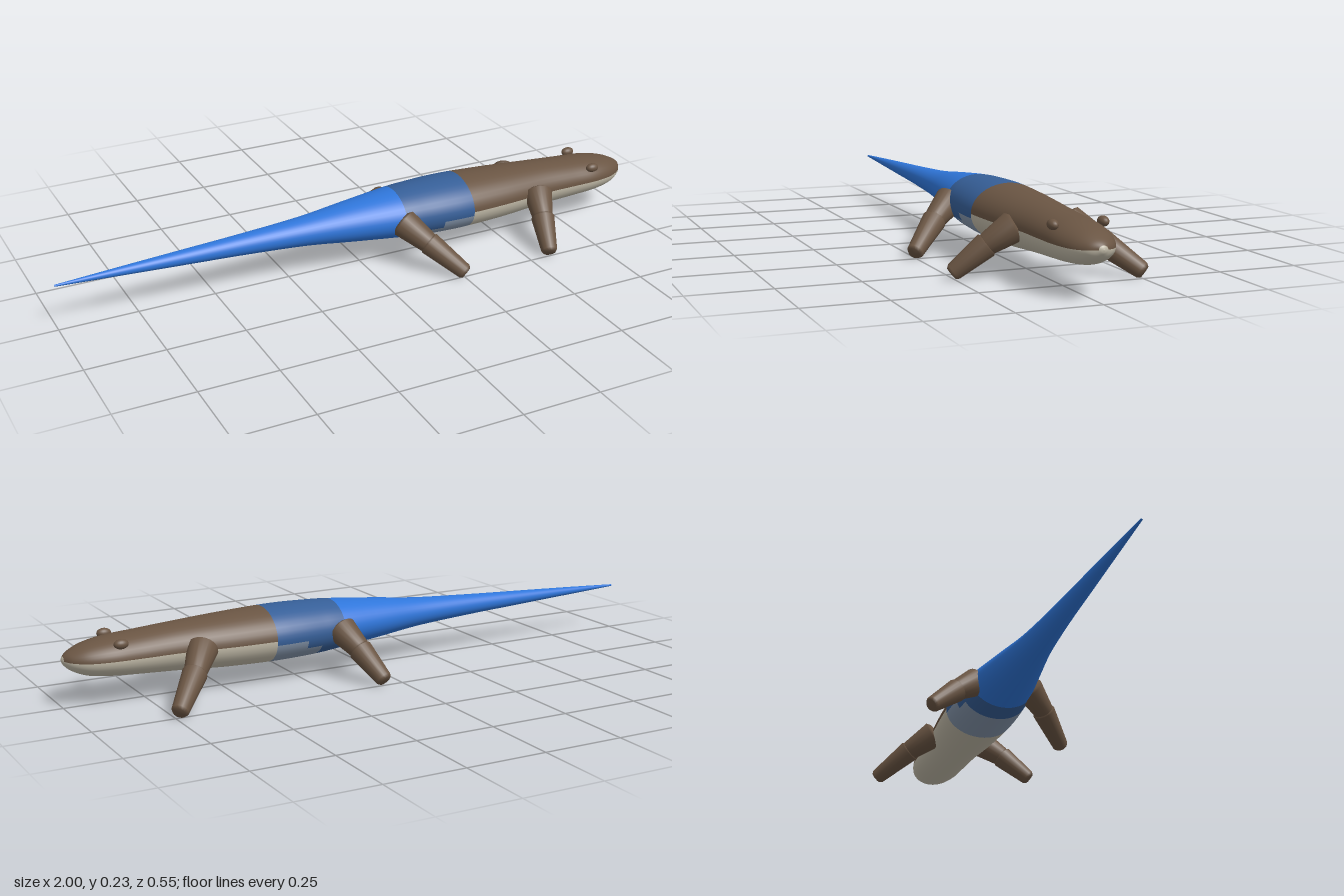
import * as THREE from 'three';

const paint = (name, color) => {
  const m = new THREE.MeshStandardMaterial({ color });
  m.name = name;
  return m;
};

// Cross-sections from tail tip to nose: x, top y, bottom y, half width
const SECTIONS = [
  [-1, 0.157, 0.151, 0.003], [-0.8, 0.168, 0.141, 0.014], [-0.6, 0.178, 0.131, 0.025],
  [-0.4, 0.188, 0.121, 0.036], [-0.2, 0.2, 0.108, 0.053], [-0.04, 0.217, 0.09, 0.078],
  [0.12, 0.232, 0.074, 0.105], [0.2, 0.236, 0.067, 0.113], [0.28, 0.238, 0.064, 0.118],
  [0.36, 0.237, 0.063, 0.118], [0.5, 0.231, 0.066, 0.109], [0.65, 0.222, 0.075, 0.094],
  [0.77, 0.213, 0.081, 0.089], [0.86, 0.206, 0.087, 0.086], [0.93, 0.193, 0.097, 0.069],
  [0.975, 0.175, 0.117, 0.042], [0.995, 0.16, 0.136, 0.014], [1, 0.148, 0.148, 0],
];
const STEPS = 6;   // rings between neighbouring sections
const SIDES = 40;

// Paint index by position along the body and height on its ring
function bodyPaint(x, s) {
  if (x < 0.12) return 0;
  if (x < 0.36) return s < (x < 0.2 ? -2 : x < 0.25 ? -0.45 : -0.1) ? 2 : 1;
  if (x > 0.995) return 4;
  return s < -0.03 ? 4 : 3;
}

function bodyGeometry() {
  const heights = new THREE.CatmullRomCurve3(
    SECTIONS.map(([x, top, bottom]) => new THREE.Vector3(x, top, bottom)), false, 'catmullrom', 0.5);
  const widths = new THREE.CatmullRomCurve3(
    SECTIONS.map(([x, , , w]) => new THREE.Vector3(x, w, 0)), false, 'catmullrom', 0.5);
  const rings = (SECTIONS.length - 1) * STEPS;
  const positions = [], xs = [], faces = [[], [], [], [], []];
  for (let i = 0; i <= rings; i++) {
    const h = heights.getPoint(i / rings), w = Math.max(0, widths.getPoint(i / rings).y);
    xs.push(h.x);
    for (let j = 0; j < SIDES; j++) {
      const a = (j / SIDES) * Math.PI * 2;
      positions.push(h.x, (h.y + h.z) / 2 + (h.y - h.z) / 2 * Math.sin(a), w * Math.cos(a));
    }
  }
  for (let i = 0; i < rings; i++) {
    for (let j = 0; j < SIDES; j++) {
      const k = (j + 1) % SIDES;
      const a = i * SIDES + j, b = a + SIDES, c = i * SIDES + k, d = c + SIDES;
      const s = Math.sin(((j + 0.5) / SIDES) * Math.PI * 2);
      faces[bodyPaint((xs[i] + xs[i + 1]) / 2, s)].push(a, b, c, b, d, c);
    }
  }
  const g = new THREE.BufferGeometry();
  g.setAttribute('position', new THREE.Float32BufferAttribute(positions, 3));
  g.setIndex(faces.flat());
  let start = 0;
  faces.forEach((f, m) => { g.addGroup(start, f.length, m); start += f.length; });
  g.computeVertexNormals();
  return g;
}

// Tapered limb segment with softly rounded ends
function limb(name, from, to, r0, r1, material) {
  const a = new THREE.Vector3(...from), b = new THREE.Vector3(...to);
  const len = a.distanceTo(b), e = 0.009;
  const outline = [[0, 0], [r0 * 0.75, 0], [r0, e], [r1, len - e], [r1 * 0.75, len], [0, len]];
  const mesh = new THREE.Mesh(
    new THREE.LatheGeometry(outline.map(([x, y]) => new THREE.Vector2(x, y)), 20), material);
  mesh.name = name;
  mesh.position.copy(a);
  mesh.quaternion.setFromUnitVectors(new THREE.Vector3(0, 1, 0), b.sub(a).normalize());
  return mesh;
}

export function createModel() {
  const brown = paint('brownSkin', 0x6a5543);
  const skins = [
    paint('blueTail', 0x2f76da), paint('deepBlueRump', 0x365f98),
    paint('greyBlueBelly', 0x8495ab), brown, paint('creamBelly', 0xc0b9a7),
  ];
  const model = new THREE.Group();
  model.name = 'lizard';

  // Head, trunk and tail
  const body = new THREE.Mesh(bodyGeometry(), skins);
  body.name = 'body';
  model.add(body);

  // Legs in a walking pose: hip, knee and foot points
  const legs = {
    frontLeftLeg: [[0.62, 0.158, 0.085], [0.592, 0.1, 0.168], [0.565, 0.021, 0.258]],
    frontRightLeg: [[0.59, 0.158, -0.085], [0.655, 0.1, -0.168], [0.742, 0.021, -0.258]],
    hindLeftLeg: [[0.11, 0.158, 0.085], [0.17, 0.1, 0.168], [0.252, 0.021, 0.258]],
    hindRightLeg: [[0.13, 0.158, -0.085], [0.1, 0.1, -0.168], [0.066, 0.021, -0.258]],
  };
  for (const [name, [hip, knee, foot]] of Object.entries(legs)) {
    const leg = new THREE.Group();
    leg.name = name;
    leg.add(limb('upperLeg', hip, knee, 0.047, 0.034, brown));
    leg.add(limb('lowerLeg', knee.map((v, i) => v + (hip[i] - v) * 0.12), foot, 0.038, 0.026, brown));
    model.add(leg);
  }

  // Eyes
  for (const side of [1, -1]) {
    const eye = new THREE.Mesh(new THREE.SphereGeometry(0.015, 20, 14), brown);
    eye.name = side > 0 ? 'leftEye' : 'rightEye';
    eye.scale.x = 1.5;
    eye.position.set(0.842, 0.195, side * 0.075);
    model.add(eye);
  }
  return model;
}
